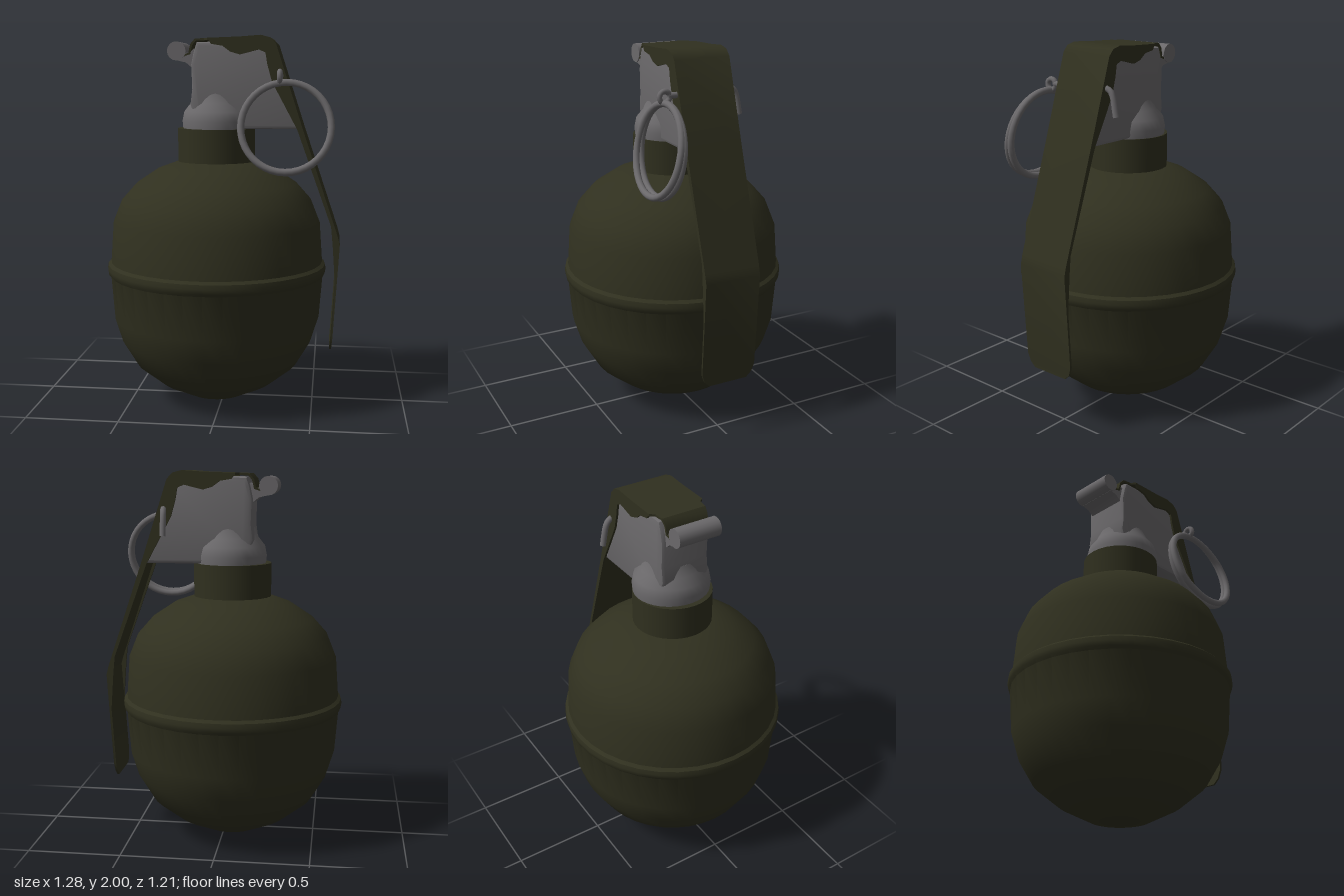
import * as THREE from 'three';
import { toCreasedNormals } from 'three/addons/utils/BufferGeometryUtils.js';

const green = new THREE.MeshStandardMaterial({ color: 0x30301f });
green.name = 'darkOlive';
const grey = new THREE.MeshStandardMaterial({ color: 0x6b696b });
grey.name = 'steelGrey';

const vec2 = (pts) => pts.map(([x, y]) => new THREE.Vector2(x, y));
const vec3 = (pts) => pts.map((p) => new THREE.Vector3(...p));

function part(name, geometry, material, parent) {
  const mesh = new THREE.Mesh(geometry, material);
  mesh.name = name;
  parent.add(mesh);
  return mesh;
}

// Front outline extruded along z and centred on z = 0
function plate(pts, depth, bevel = 0) {
  const geo = new THREE.ExtrudeGeometry(new THREE.Shape(vec2(pts)), {
    depth: depth - 2 * bevel, bevelEnabled: bevel > 0, bevelThickness: bevel,
    bevelSize: bevel, bevelOffset: -bevel, bevelSegments: 2,
  });
  geo.translate(0, 0, bevel - depth / 2);
  return toCreasedNormals(geo, 0.6);
}

// Flat strip following [x, y, halfWidth] points, with a thickness below the path
function strip(path, thickness) {
  const pos = [], index = [], last = path.length - 1;
  path.forEach(([x, y, w], i) => {
    const a = path[Math.max(i - 1, 0)], b = path[Math.min(i + 1, last)];
    const t = new THREE.Vector2(b[0] - a[0], b[1] - a[1]).normalize();
    const ix = x + t.y * thickness, iy = y - t.x * thickness;
    pos.push(x, y, w, x, y, -w, ix, iy, -w, ix, iy, w);
    if (i === last) return;
    for (let k = 0; k < 4; k++) {
      const p = i * 4 + k, q = i * 4 + (k + 1) % 4;
      index.push(p, p + 4, q + 4, p, q + 4, q);
    }
  });
  const e = last * 4;
  index.push(0, 1, 2, 0, 2, 3, e, e + 2, e + 1, e, e + 3, e + 2);
  const geo = new THREE.BufferGeometry();
  geo.setAttribute('position', new THREE.Float32BufferAttribute(pos, 3));
  geo.setIndex(index);
  return toCreasedNormals(geo, 0.6);
}

export function createModel() {
  const model = new THREE.Group();
  model.name = 'model';

  // Egg-shaped body with a raised seam
  const bodyProfile = [
    [0, 0], [0.16, 0.02], [0.32, 0.1], [0.45, 0.205], [0.53, 0.34], [0.57, 0.47],
    [0.588, 0.705], [0.6, 0.72], [0.604, 0.745], [0.6, 0.768], [0.584, 0.782],
    [0.568, 1.0], [0.52, 1.12], [0.44, 1.21], [0.32, 1.29], [0.21, 1.33], [0, 1.34],
  ];
  part('body', toCreasedNormals(new THREE.LatheGeometry(vec2(bodyProfile), 36), 0.6), green, model)
    .position.x = -0.04;

  // Neck collar
  part('neck', new THREE.CylinderGeometry(0.21, 0.21, 0.21, 32), green, model)
    .position.set(-0.04, 1.405, 0);

  // Round foot of the head
  const footProfile = [[0, 1.5], [0.19, 1.5], [0.195, 1.55], [0.185, 1.6], [0.15, 1.645], [0.13, 1.7], [0, 1.7]];
  const foot = part('headFoot', toCreasedNormals(new THREE.LatheGeometry(vec2(footProfile), 32), 0.7), grey, model);
  foot.position.x = -0.03;
  foot.scale.z = 1.07;

  // Head block
  part('headBlock', plate([
    [-0.12, 1.512], [0.415, 1.512], [0.27, 1.93], [0.2, 1.975], [-0.13, 1.965],
    [-0.145, 1.92], [-0.16, 1.85], [-0.155, 1.72], [-0.165, 1.64],
  ], 0.28, 0.02), grey, model);

  // Hinge bar and the arm that carries it
  part('hingeArm', plate([
    [-0.12, 1.78], [-0.1, 1.95], [-0.15, 1.93], [-0.18, 1.9], [-0.22, 1.95], [-0.26, 1.93],
    [-0.235, 1.87], [-0.19, 1.86], [-0.16, 1.835],
  ], 0.23), grey, model);
  const bar = part('hingeBar', new THREE.CylinderGeometry(0.05, 0.05, 0.24, 16), grey, model);
  bar.rotation.x = Math.PI / 2;
  bar.position.set(-0.24, 1.92, 0);

  // Lever strip, hooked at the hinge and bent down the side
  const lever = new THREE.Group();
  lever.name = 'lever';
  model.add(lever);
  part('leverStrip', strip([
    [-0.225, 1.925, 0.11], [-0.205, 1.9, 0.115], [-0.175, 1.91, 0.12], [-0.165, 1.955, 0.122],
    [-0.14, 1.983, 0.125], [-0.09, 1.986, 0.13], [-0.07, 1.986, 0.155], [0.1, 1.992, 0.155],
    [0.21, 2.0, 0.155], [0.26, 1.987, 0.155], [0.29, 1.955, 0.155], [0.43, 1.525, 0.155],
    [0.625, 0.95, 0.155], [0.638, 0.9, 0.155], [0.608, 0.39, 0.155], [0.604, 0.345, 0.14],
    [0.602, 0.315, 0.11],
  ], 0.012), green, lever);

  // Turned-down side flanges of the lever
  const flange = plate([
    [-0.07, 1.984], [-0.05, 1.955], [0.01, 1.945], [0.05, 1.915], [0.1, 1.9], [0.2, 1.925],
    [0.235, 1.91], [0.245, 1.85], [0.27, 1.76], [0.405, 1.51], [0.59, 1.0], [0.6, 0.9], [0.615, 0.7],
    [0.607, 0.4], [0.637, 0.9], [0.624, 0.95], [0.429, 1.525], [0.289, 1.95], [0.26, 1.983],
    [0.21, 1.997], [0.1, 1.99],
  ], 0.012);
  for (const side of [1, -1]) {
    part(side > 0 ? 'frontFlange' : 'backFlange', flange, green, lever).position.z = side * 0.149;
  }

  // Cross pin with an eye in front and a bent tail behind
  const pinCurve = new THREE.CatmullRomCurve3(vec3([
    [0.315, 1.79, 0.2], [0.315, 1.79, 0], [0.31, 1.8, -0.15], [0.305, 1.78, -0.18], [0.305, 1.66, -0.21],
  ]));
  part('pin', new THREE.TubeGeometry(pinCurve, 32, 0.016, 8), grey, model);
  const eye = part('pinEye', new THREE.TorusGeometry(0.028, 0.014, 8, 16), grey, model);
  eye.rotation.y = Math.PI / 2;
  eye.position.set(0.315, 1.785, 0.22);

  // Two coils of the pull ring, hanging from the eye
  const ring = new THREE.Group();
  ring.name = 'pullRing';
  ring.position.set(0.35, 1.775, 0.22);
  model.add(ring);
  const coil = new THREE.TorusGeometry(0.232, 0.018, 10, 40).translate(0, -0.25, 0);
  [-0.14, -0.22].forEach((tilt, i) => {
    part('ringCoil' + (i + 1), coil, grey, ring).rotation.x = tilt;
  });

  return model;
}
